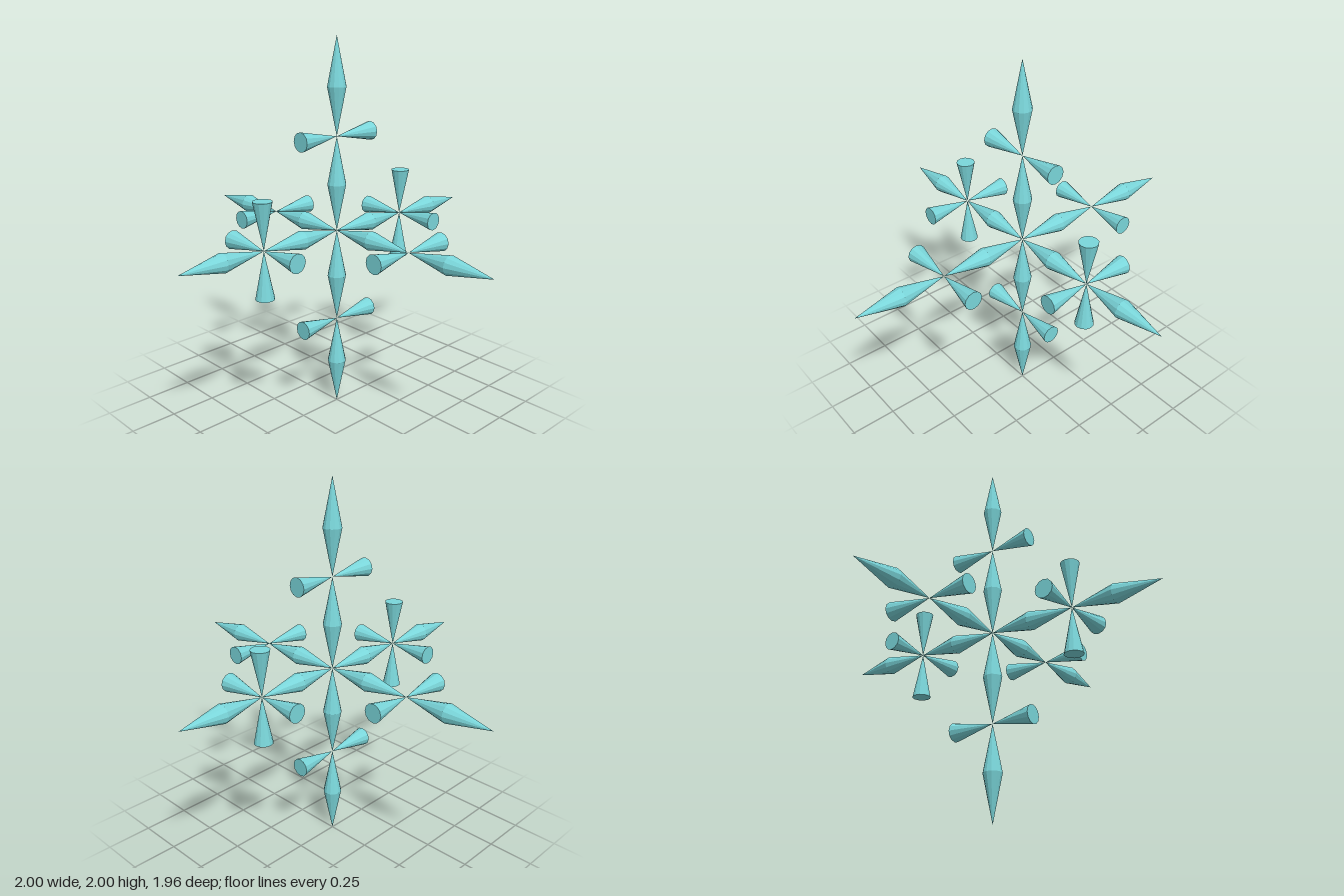
import * as THREE from 'three';

const RADIUS = 0.05, SIDES = 12;
const UP = new THREE.Vector3(0, 1, 0);
// unit steps: the depth axis is slightly shorter than the other two
const STEP = { x: 0.25, y: 0.25, z: 0.245 };

export function createModel() {
  const teal = new THREE.MeshStandardMaterial({ color: 0x7ad6da, flatShading: true });
  teal.name = 'teal';

  const model = new THREE.Group();
  model.name = 'crystalStar';
  const star = new THREE.Group();
  star.name = 'star';
  star.position.y = 1;
  model.add(star);

  const direction = (axis, sign) => {
    const d = new THREE.Vector3();
    d[axis] = sign;
    return d;
  };

  // cone running from start along dir; flare widens outwards, otherwise it narrows
  function addCone(parent, name, start, dir, length, flare, open) {
    const geometry = new THREE.CylinderGeometry(
      flare ? RADIUS : 0, flare ? 0 : RADIUS, length, SIDES, 1, open);
    const mesh = new THREE.Mesh(geometry, teal);
    mesh.name = name;
    mesh.quaternion.setFromUnitVectors(UP, dir);
    mesh.position.copy(start).addScaledVector(dir, length / 2);
    parent.add(mesh);
  }

  // side cones carried by the joint halfway along each arm
  const sideAxes = { x: ['z'], y: ['z'], z: ['x', 'y'] };

  for (const axis of ['x', 'y', 'z']) {
    for (const sign of [1, -1]) {
      const dir = direction(axis, sign);
      const step = STEP[axis];
      const arm = new THREE.Group();
      arm.name = 'arm';
      star.add(arm);

      // two spindles, each a pair of cones joined at their wide ends
      for (let i = 0; i < 4; i++) {
        const start = dir.clone().multiplyScalar(i * step);
        addCone(arm, i < 2 ? 'innerSpindle' : 'outerSpindle', start, dir, step, i % 2 === 0, true);
      }

      // flared cones with their points meeting at the joint
      const joint = dir.clone().multiplyScalar(2 * step);
      for (const side of sideAxes[axis]) {
        for (const s of [1, -1]) {
          addCone(arm, 'sideCone', joint, direction(side, s), STEP[side], true, false);
        }
      }
    }
  }
  return model;
}
